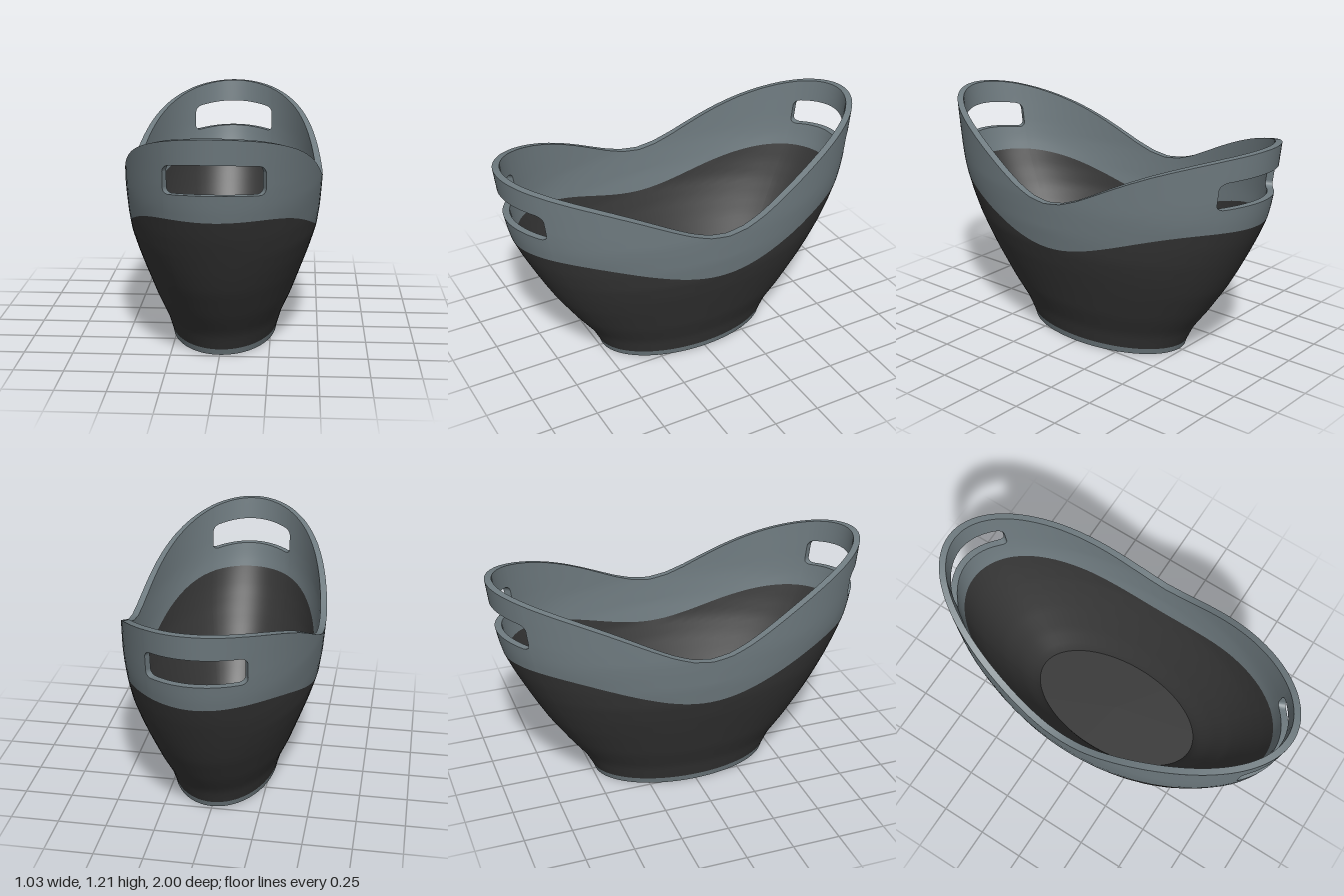
import * as THREE from 'three';

const WALL = 0.035, FOOT = 0.033, FLOOR = 0.1;
const HOLE_X = 0.24, HOLE_R = 0.03, RIM_A = 0.515;

// outer half-widths by height: [y, x half, z half]
const PROFILE = [
  [0, 0.276, 0.48], [0.033, 0.283, 0.492], [0.12, 0.309, 0.535], [0.24, 0.362, 0.625],
  [0.4, 0.421, 0.732], [0.5, 0.457, 0.788], [0.6, 0.488, 0.84], [0.7, 0.503, 0.89],
  [0.8, 0.511, 0.934], [0.86, 0.515, 0.95], [0.94, 0.515, 0.966], [1.08, 0.515, 0.985], [1.205, 0.515, 1],
];
// rim height by distance toward the ends
const RIM = [0.845, 0.857, 0.89, 0.936, 0.985, 1.032, 1.075, 1.113, 1.147, 1.178, 1.205].map((y, i) => [i / 10, y]);

function lookup(table, t, k) {
  let i = 1;
  while (i < table.length - 1 && table[i][0] < t) i++;
  const [p, q] = [table[i - 1], table[i]];
  return THREE.MathUtils.lerp(p[k], q[k], THREE.MathUtils.clamp((t - p[0]) / (q[0] - p[0]), 0, 1));
}

// point on the oval wall, moved inward by inset
const wall = (phi, y, inset = 0) => new THREE.Vector3(
  (lookup(PROFILE, y, 1) - inset) * Math.sin(phi), y, (lookup(PROFILE, y, 2) - inset) * Math.cos(phi));

const rimY = phi => lookup(RIM, Math.abs(Math.cos(phi)), 1);
const borderY = phi => 0.6 + 0.205 * (1 - Math.cos(Math.PI * Math.abs(Math.cos(phi)))) / 2;

// lower and upper edge of the grip hole, continued as fractions of the collar beyond it
const holePhi = Math.asin(HOLE_X / RIM_A);
function holeEdges(phi) {
  const x = Math.abs(RIM_A * Math.sin(phi));
  if (x > HOLE_X + 1e-6) {
    const b = borderY(phi), h = rimY(phi) - b, b0 = borderY(holePhi), h0 = rimY(holePhi) - b0;
    return holeEdges(holePhi).map(y => b + h * (y - b0) / h0);
  }
  const d = Math.min(HOLE_R, Math.max(0, x - (HOLE_X - HOLE_R)));
  const corner = HOLE_R - Math.sqrt(HOLE_R * HOLE_R - d * d);
  const bow = (x / HOLE_X) ** 2;
  return [0.94 - 0.018 * bow + corner, 1.085 - 0.025 * bow - corner];
}

// columns around the oval, denser at the hole corners
const quarter = [];
for (let i = 0; i < 10; i++) quarter.push(Math.asin((HOLE_X - HOLE_R) * i / 10 / RIM_A));
for (let i = 0; i < 7; i++) quarter.push(Math.asin((HOLE_X - HOLE_R + HOLE_R * Math.sin(i / 6 * Math.PI / 2)) / RIM_A));
for (let i = 1; i < 20; i++) quarter.push(holePhi + (Math.PI / 2 - holePhi) * i / 20);
const half = [...quarter, Math.PI / 2, ...quarter.slice(1).reverse().map(p => Math.PI - p)];
const COLS = [...half, ...half.map(p => p + Math.PI)];
const inHole = j => [j, (j + 1) % COLS.length].every(k => Math.abs(Math.sin(COLS[k])) * RIM_A < HOLE_X + 1e-6);

// skin a list of point rows; the front faces outward when rows go up the outside
function loft(rows, keep = () => true) {
  const n = rows[0].length, index = [];
  for (let i = 0; i < rows.length - 1; i++) for (let j = 0; j < n; j++) {
    if (!keep(j, i)) continue;
    const k = (j + 1) % n, a = i * n + j, b = i * n + k;
    index.push(a, b, b + n, a, b + n, a + n);
  }
  const geo = new THREE.BufferGeometry().setFromPoints(rows.flat());
  geo.setIndex(index);
  geo.computeVertexNormals();
  return geo;
}
const row = fn => COLS.map(fn);
const oval = (y, inset) => row(p => wall(p, y, inset));
const centre = y => row(() => new THREE.Vector3(0, y, 0));

export function createModel() {
  const model = new THREE.Group();
  model.name = 'ovalTub';
  const grey = new THREE.MeshStandardMaterial({ color: 0x6f7b80 });
  grey.name = 'slate grey';
  const dark = new THREE.MeshStandardMaterial({ color: 0x353535 });
  dark.name = 'charcoal';
  const add = (name, material, rows, keep) => {
    const mesh = new THREE.Mesh(loft(rows, keep), material);
    mesh.name = name;
    model.add(mesh);
  };

  // dark body, outside and inside
  const bodyRows = (from, inset) => Array.from({ length: 25 }, (_, i) =>
    row(p => wall(p, THREE.MathUtils.lerp(from, borderY(p), i / 24), inset)));
  add('bodyOutside', dark, bodyRows(FOOT, 0));
  add('bodyInside', dark, bodyRows(FLOOR, WALL).reverse());
  add('floor', dark, [oval(FLOOR, WALL), centre(FLOOR)]);

  // grey collar with the two grip holes
  const STEPS = [4, 3, 4];
  const collarRows = inset => {
    const rows = [];
    STEPS.forEach((count, s) => {
      for (let i = s ? 1 : 0; i <= count; i++) rows.push(row(p => {
        const ys = [borderY(p), ...holeEdges(p), rimY(p)];
        return wall(p, THREE.MathUtils.lerp(ys[s], ys[s + 1], i / count), inset);
      }));
    });
    return rows;
  };
  const solid = (j, i) => !(inHole(j) && i >= 4 && i < 7);
  const outer = collarRows(0), inner = collarRows(WALL);
  add('collarOutside', grey, outer, solid);
  add('collarInside', grey, [...inner].reverse(), (j, i) => solid(j, 10 - i));
  add('rim', grey, [outer[11], inner[11]]);

  // thickness of the grip holes
  add('gripSills', grey, [outer[4], inner[4]], inHole);
  add('gripLintels', grey, [inner[7], outer[7]], inHole);
  COLS.forEach((phi, j) => {
    if (Math.abs(Math.abs(Math.sin(phi)) * RIM_A - HOLE_X) > 1e-6) return;
    const rows = [4, 7].map(i => [inner[i][j], outer[i][j]]);
    if (!inHole((j + COLS.length - 1) % COLS.length)) rows.forEach(r => r.reverse());
    add('gripJamb', grey, rows, c => c === 0);
  });

  // grey foot ring around a recessed dark underside
  add('footOutside', grey, [oval(0, 0), oval(FOOT, 0)]);
  add('footBottom', grey, [oval(0, 0.025), oval(0, 0)]);
  add('footInside', grey, [oval(FOOT, 0.032), oval(0, 0.025)]);
  add('underside', dark, [centre(FOOT), oval(FOOT, 0.032)]);
  return model;
}
